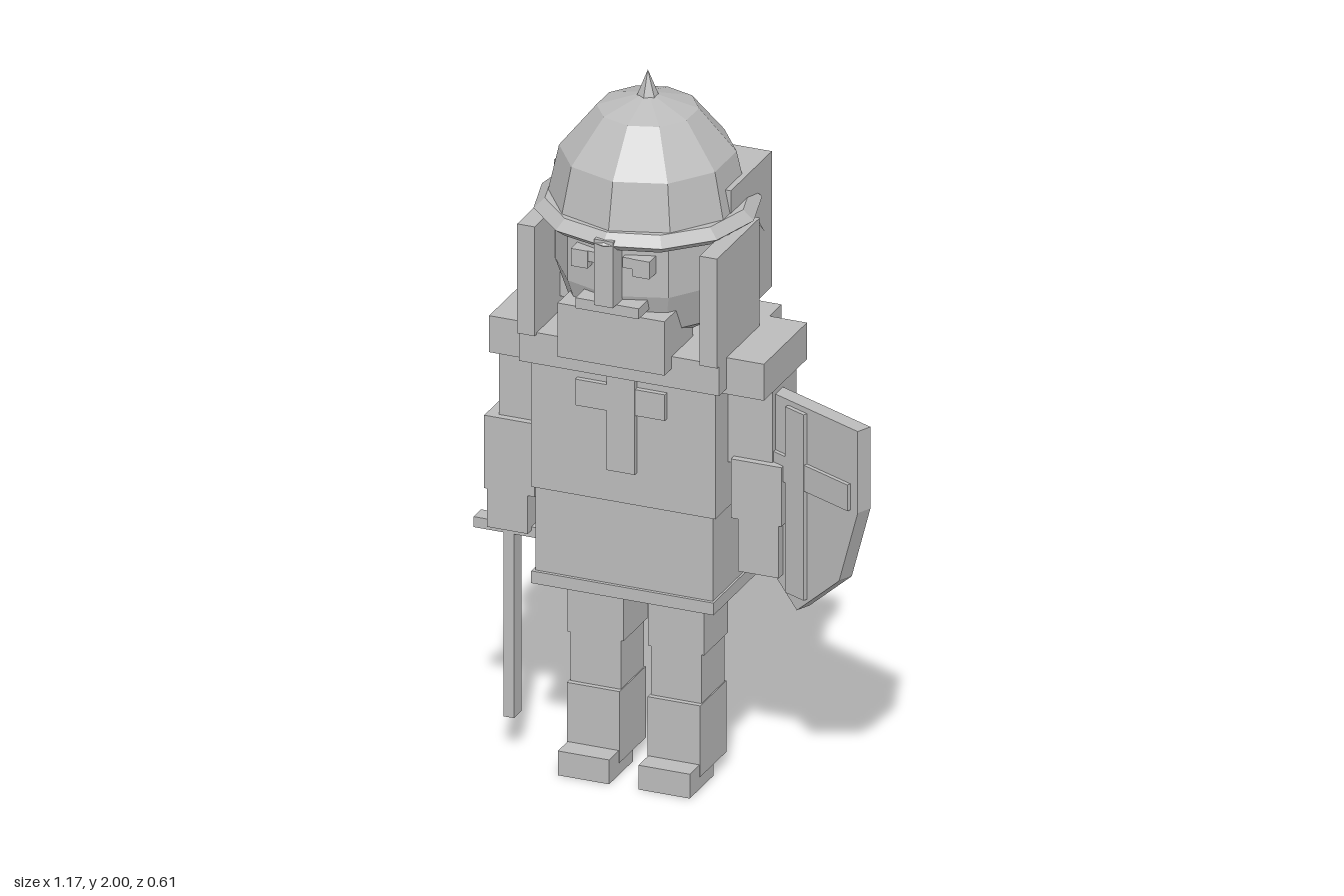
import * as THREE from 'three';

const CX = -0.12; // the figure's own centre line

export function createModel() {
  const model = new THREE.Group();
  model.name = 'knightFigure';
  const stone = new THREE.MeshStandardMaterial({ color: 0xbbbbbb, flatShading: true });
  stone.name = 'stoneGrey';

  function add(name, geometry, parent = model) {
    const mesh = new THREE.Mesh(geometry, stone);
    mesh.name = name;
    parent.add(mesh);
    return mesh;
  }
  // Box given by its limits on each axis
  function box(name, x0, x1, y0, y1, z0, z1, parent = model) {
    const g = new THREE.BoxGeometry(x1 - x0, y1 - y0, z1 - z0);
    g.translate((x0 + x1) / 2, (y0 + y1) / 2, (z0 + z1) / 2);
    return add(name, g, parent);
  }
  // Turned part around the centre line, profile listed from bottom to top
  function turned(name, profile, sides, start = 0, sweep = Math.PI * 2) {
    const pts = profile.map(([r, y]) => new THREE.Vector2(r, y));
    const mesh = add(name, new THREE.LatheGeometry(pts, sides, start, sweep));
    mesh.position.x = CX;
    return mesh;
  }

  // Legs and boots
  for (const s of [-1, 1]) {
    const c = CX + s * 0.115;
    box('thigh', c - 0.08, c + 0.08, 0.38, 0.57, -0.08, 0.08);
    box('shin', c - 0.072, c + 0.072, 0.23, 0.39, -0.075, 0.08);
    box('boot', c - 0.075, c + 0.075, 0.035, 0.24, -0.08, 0.095);
    box('foot', c - 0.073, c + 0.073, 0, 0.07, 0, 0.16);
  }

  // Torso and tunic
  box('tunicSkirt', -0.372, 0.134, 0.56, 0.82, -0.148, 0.16);
  box('tunicHem', -0.38, 0.14, 0.545, 0.58, -0.155, 0.17);
  box('chest', -0.383, 0.143, 0.82, 1.2, -0.157, 0.165);
  box('collar', -0.405, 0.165, 1.19, 1.28, -0.225, 0.192);
  box('chestCrossUpright', -0.16, -0.08, 0.915, 1.19, 0.15, 0.182);
  box('chestCrossBar', -0.25, 0.005, 1.085, 1.16, 0.15, 0.18);

  // Arms
  for (const s of [-1, 1]) {
    const limb = (name, a, b, ...rest) => {
      const p = CX + s * a, q = CX + s * b;
      box(name, Math.min(p, q), Math.max(p, q), ...rest);
    };
    const wrist = s < 0 ? 0.76 : 0.8;
    limb('shoulderPad', 0.26, 0.392, 1.175, 1.28, -0.145, 0.142);
    limb('upperArm', 0.26, 0.39, 0.95, 1.18, -0.08, 0.08);
    limb('forearm', 0.28, 0.424, wrist, 0.97, -0.06, 0.1);
    limb('hand', 0.3, 0.416, 0.65, wrist + 0.01, -0.015, 0.1);
  }

  // Sword
  box('swordGuard', -0.585, -0.38, 0.63, 0.66, 0.025, 0.075);
  box('swordBlade', -0.5, -0.47, 0.1, 0.635, 0.025, 0.075);

  // Shield, turned outward
  const shield = new THREE.Group();
  shield.name = 'shield';
  shield.position.set(0.355, 0, 0.075);
  shield.rotation.y = -0.43;
  model.add(shield);
  const half = [[0.238, 1.16], [0.238, 0.925], [0.165, 0.705]];
  const outline = [
    ...half.map(([x, y]) => [-x, y]),
    [0, 0.565],
    ...half.slice().reverse(),
  ].map(([x, y]) => new THREE.Vector2(x, y));
  const plate = new THREE.ExtrudeGeometry(new THREE.Shape(outline), { depth: 0.045, bevelEnabled: false });
  plate.translate(0, 0, -0.0225);
  add('shieldPlate', plate, shield);
  box('shieldCrossUpright', -0.032, 0.04, 0.61, 1.145, 0.02, 0.035, shield);
  box('shieldCrossBar', -0.21, 0.21, 0.925, 1, 0.02, 0.034, shield);

  // Head and face
  turned('head', [[0, 1.285], [0.13, 1.285], [0.205, 1.335], [0.245, 1.45], [0.245, 1.62]], 10);
  box('chin', -0.275, 0.03, 1.245, 1.4, 0.05, 0.24);
  box('mouth', -0.21, -0.03, 1.41, 1.44, 0.18, 0.272);
  for (const s of [-1, 1]) {
    const c = CX + s * 0.088;
    box('eye', c - 0.024, c + 0.024, 1.52, 1.57, 0.18, 0.252);
    const b = CX + s * 0.053;
    box('innerEye', b - 0.018, b + 0.018, 1.54, 1.57, 0.18, 0.25);
  }
  box('noseGuard', -0.147, -0.093, 1.44, 1.63, 0.22, 0.295);

  // Hood behind the head and cheek panels
  box('hoodBack', -0.372, 0.132, 1.32, 1.71, -0.238, 0.035);
  box('rightCheekPanel', -0.405, -0.355, 1.275, 1.59, -0.08, 0.205);
  box('leftCheekPanel', 0.115, 0.165, 1.275, 1.59, -0.08, 0.205);

  // Helmet
  const rings = [90, 60, 30, 0].map((deg) => {
    const a = THREE.MathUtils.degToRad(deg);
    return [0.27 * Math.sin(a), 1.61 + 0.328 * Math.cos(a)];
  });
  turned('helmetDome', rings, 10);
  turned('helmetBrim',
    [[0.24, 1.595], [0.272, 1.595], [0.302, 1.618], [0.272, 1.645], [0.24, 1.645], [0.24, 1.595]], 12);
  const fan = THREE.MathUtils.degToRad(72);
  turned('neckGuard',
    [[0.24, 1.59], [0.295, 1.535], [0.308, 1.545], [0.26, 1.61], [0.24, 1.59]], 4, Math.PI - fan, fan * 2);
  const spike = add('helmetSpike', new THREE.ConeGeometry(0.03, 0.075, 6));
  spike.position.set(CX, 1.9625, 0);

  return model;
}
